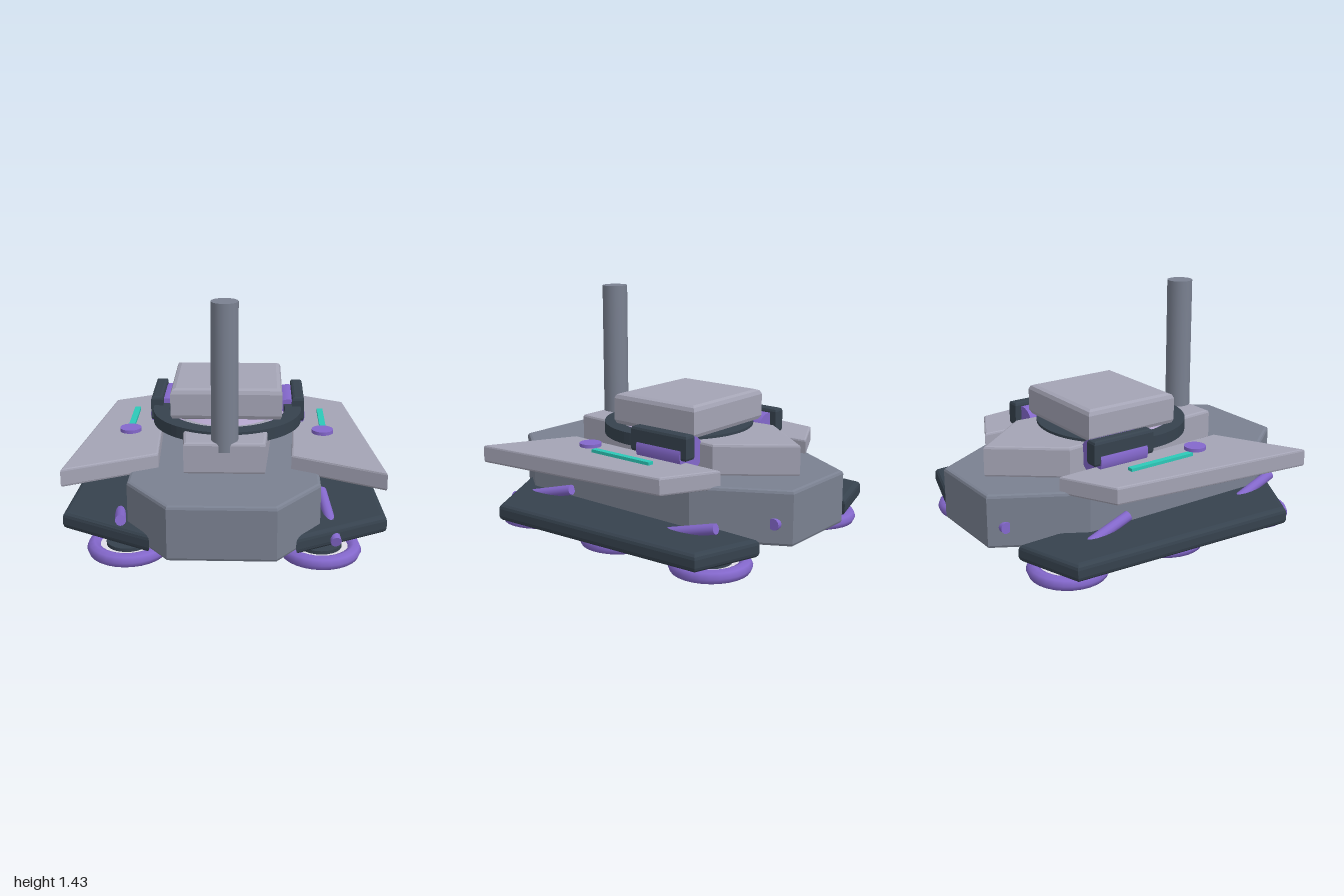
import * as THREE from 'three';

const mat = (name, color, side = THREE.FrontSide) => {
  const m = new THREE.MeshStandardMaterial({ color, side });
  m.name = name;
  return m;
};

export function createModel() {
  const model = new THREE.Group();
  const steel = mat('steel grey', 0x7a8191);
  const armour = mat('pale armour', 0xa4a4b5);
  const dark = mat('dark slate', 0x36424e);
  const purple = mat('purple', 0x8468cc);
  const cyan = mat('cyan', 0x2cc9b8);
  const mauve = mat('mauve', 0xb3a4cb);
  const pale = mat('pale lining', 0xe2e0ea, THREE.DoubleSide);

  const add = (name, geometry, material, x = 0, y = 0, z = 0) => {
    const mesh = new THREE.Mesh(geometry, material);
    mesh.name = name;
    mesh.position.set(x, y, z);
    model.add(mesh);
    return mesh;
  };

  // Bevelled plate from a plan outline of [x, z] points
  const slab = (points, y0, y1, bevel, segments = 2) => {
    const shape = new THREE.Shape(points.map(([x, z]) => new THREE.Vector2(x, -z)));
    const g = new THREE.ExtrudeGeometry(shape, {
      depth: y1 - y0 - 2 * bevel, bevelSize: bevel, bevelThickness: bevel,
      bevelOffset: -bevel, bevelSegments: segments,
    });
    return g.rotateX(-Math.PI / 2).translate(0, y0 + bevel, 0);
  };
  const mirror = (points, s) => points.map(([x, z]) => [x * s, z]);
  const symmetric = (half) => [...half, ...mirror(half, -1).reverse()];
  const rect = (x0, x1, z0, z1) => [[x0, z0], [x1, z0], [x1, z1], [x0, z1]];

  // Hull and turret body
  add('hull', slab(symmetric([[0.25, -1], [0.525, -0.52], [0.525, 0.68], [0.285, 1]]), 0.165, 0.475, 0.018), steel);
  add('turretBody', slab([[0, -0.875], [0.295, -0.5], [0.225, 0.555], [-0.225, 0.555], [-0.295, -0.5]], 0.47, 0.652, 0.015), armour);
  add('turretCap', slab(rect(-0.322, 0.322, -0.39, 0.202), 0.66, 0.848, 0.03), armour);

  // Turret ring with the shallow dome inside it
  const ring = new THREE.Shape().absarc(0, 0, 0.44, 0, Math.PI * 2);
  ring.holes.push(new THREE.Path().absarc(0, 0, 0.345, 0, Math.PI * 2, true));
  const ringGeometry = new THREE.ExtrudeGeometry(ring, { depth: 0.07, bevelEnabled: false, curveSegments: 32 });
  add('turretRing', ringGeometry.rotateX(-Math.PI / 2), dark, 0, 0.597, -0.02);
  const dome = new THREE.SphereGeometry(0.355, 32, 16).scale(1, 0.25, 1);
  add('turretDome', dome, mauve, 0, 0.6, -0.02);

  // Upright barrel
  add('barrel', new THREE.CylinderGeometry(0.075, 0.075, 0.83, 16), steel, 0, 1.015, 0.488);

  // Belly disc and rear cross pin
  add('bellyDisc', new THREE.CylinderGeometry(0.253, 0.253, 0.11, 32), purple, 0, 0.055, -0.015);
  add('rearPin', new THREE.CylinderGeometry(0.033, 0.033, 0.62, 12).rotateZ(Math.PI / 2), purple, 0, 0.29, -0.915);

  const skid = [[0.43, -0.915], [0.82, -0.795], [0.902, 0.575], [0.39, 0.86]];
  const wing = [[0.415, -0.645], [0.725, -0.485], [0.872, 0.725], [0.37, 0.47]];
  const wheelRim = new THREE.TorusGeometry(0.187, 0.04, 8, 28).rotateX(Math.PI / 2);
  const wheelLining = new THREE.RingGeometry(0.115, 0.155, 28).rotateX(Math.PI / 2);
  const wheelHub = new THREE.CylinderGeometry(0.12, 0.12, 0.03, 24);

  for (const s of [1, -1]) {
    const side = s > 0 ? 'left' : 'right';
    add(side + 'Skid', slab(mirror(skid, s), 0.14, 0.242, 0.03, 3), dark);
    add(side + 'Wing', slab(mirror(wing, s), 0.456, 0.558, 0.012), armour);

    // Side drums clasped by dark guards
    const drum = new THREE.CylinderGeometry(0.1, 0.1, 0.315, 24).rotateX(Math.PI / 2);
    add(side + 'Drum', drum, purple, s * 0.367, 0.597, -0.25);
    add(side + 'Guard', slab(mirror(rect(0.387, 0.46, -0.447, -0.05), s), 0.573, 0.72, 0.018), dark);

    // Light strip through the wing and the knob in front of it
    add(side + 'LightStrip', new THREE.BoxGeometry(0.036, 0.142, 0.425), cyan, s * 0.568, 0.505, -0.078);
    add(side + 'Knob', new THREE.CylinderGeometry(0.062, 0.062, 0.02, 24), purple, s * 0.558, 0.595, 0.17);

    // Hover wheels
    for (const z of [0.64, -0.015, -0.67]) {
      add(side + 'WheelRim', wheelRim, purple, s * 0.53, 0.08, z);
      add(side + 'WheelLining', wheelLining, pale, s * 0.53, 0.095, z);
      add(side + 'WheelHub', wheelHub, dark, s * 0.53, 0.1, z);
    }

    // Slanted struts, leaning opposite ways on the two sides
    for (const z of [0.555, -0.505]) {
      const dir = new THREE.Vector3(-0.06, 0.115, -0.44 * s).normalize();
      if (s < 0) dir.x *= -1;
      const strut = add(side + 'Strut', new THREE.CylinderGeometry(0.03, 0.03, 0.45, 12), purple, s * 0.58, 0.232, z);
      strut.quaternion.setFromUnitVectors(new THREE.Vector3(0, 1, 0), dir);
    }
  }
  return model;
}
